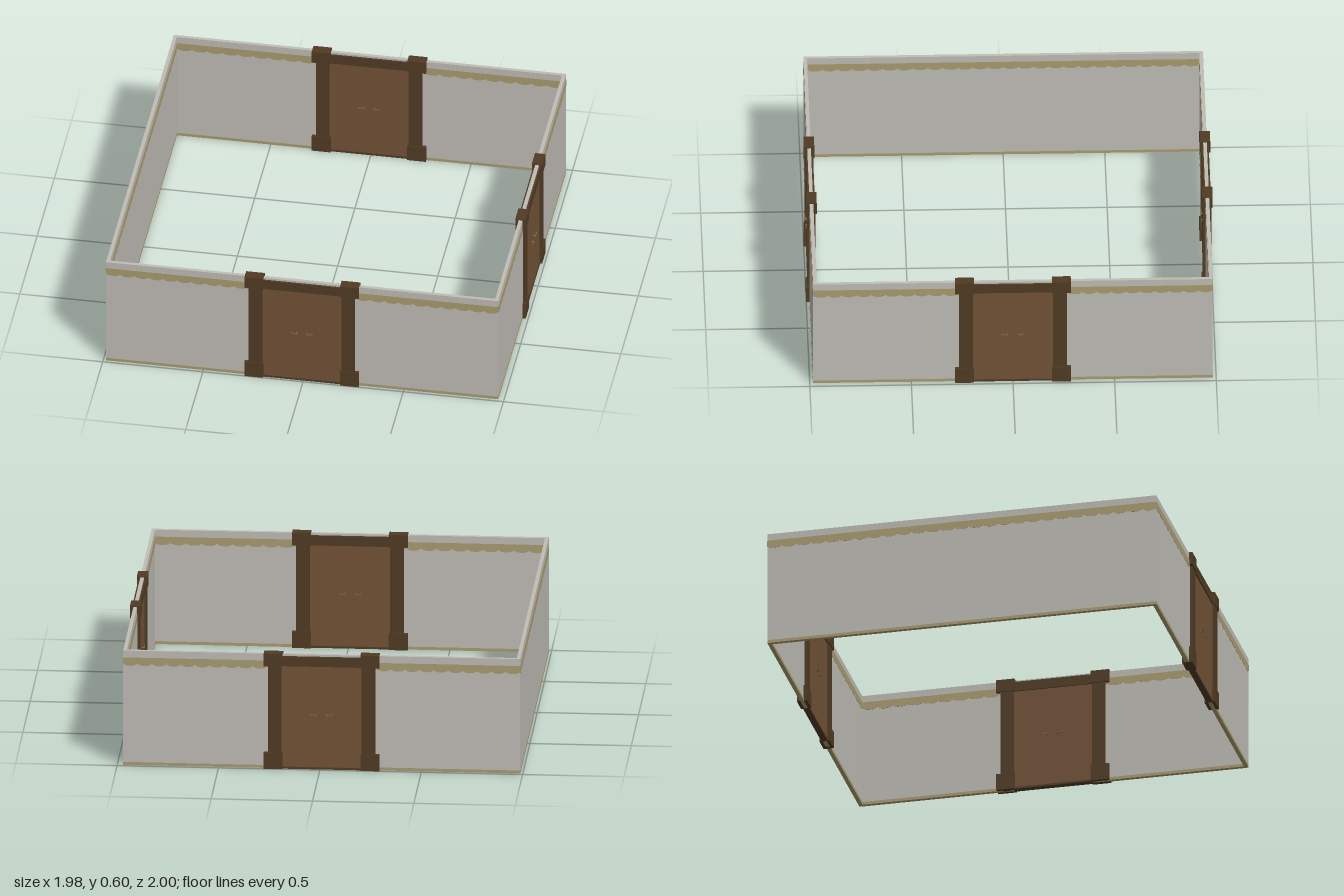
import * as THREE from 'three';

const material = (name, color) => {
  const m = new THREE.MeshStandardMaterial({ color });
  m.name = name;
  return m;
};

export function createModel() {
  const plaster = material('plaster', 0xc0bdb6);
  const gold = material('gold trim', 0xaa9c70);
  const doorWood = material('door wood', 0x735236);
  const darkWood = material('dark wood', 0x503b23);
  const brass = material('brass', 0x75653c);

  const T = 0.009;      // half wall thickness
  const TOP = 0.59;     // wall height
  const DOOR = 0.198;   // half door width

  // Box given by its limits on each axis
  function box(parent, name, mat, x0, x1, y0, y1, z0, z1) {
    const mesh = new THREE.Mesh(new THREE.BoxGeometry(x1 - x0, y1 - y0, z1 - z0), mat);
    mesh.position.set((x0 + x1) / 2, (y0 + y1) / 2, (z0 + z1) / 2);
    mesh.name = name;
    parent.add(mesh);
  }

  // Thin band with a scalloped lower edge
  function scallopBand(parent, x0, x1, side) {
    const n = Math.max(1, Math.round((x1 - x0) / 0.074));
    const step = (x1 - x0) / n;
    const s = new THREE.Shape();
    s.moveTo(x1, 0.555);
    s.lineTo(x0, 0.555);
    s.lineTo(x0, 0.524);
    for (let i = 0; i < n; i++) {
      const a = x0 + i * step;
      s.bezierCurveTo(a + step * 0.15, 0.508, a + step * 0.85, 0.508, a + step, 0.524);
    }
    const geo = new THREE.ExtrudeGeometry(s, { depth: 0.0015, bevelEnabled: false, curveSegments: 6 });
    const mesh = new THREE.Mesh(geo, gold);
    mesh.position.z = side > 0 ? T : -T - 0.0015;
    mesh.name = 'scallopedBand';
    parent.add(mesh);
  }

  // Double door with posts, lintel and handles on both faces
  function doorway() {
    const g = new THREE.Group();
    g.name = 'doorway';
    box(g, 'lintel', darkWood, -DOOR, DOOR, 0.53, 0.58, -0.018, 0.018);
    box(g, 'wallAboveLintel', plaster, -DOOR, DOOR, 0.58, TOP, -T, T);
    box(g, 'threshold', darkWood, -DOOR, DOOR, 0, 0.01, -0.016, 0.016);
    for (const s of [-1, 1]) {
      const span = (name, mat, a, b, y0, y1, h) =>
        box(g, name, mat, Math.min(s * a, s * b), Math.max(s * a, s * b), y0, y1, -h, h);
      span('doorLeaf', doorWood, 0.0006, DOOR, 0.01, 0.53, 0.012);
      span('post', darkWood, DOOR, 0.265, 0.085, 0.53, 0.021);
      span('postCapital', darkWood, 0.192, 0.285, 0.53, 0.595, 0.026);
      span('postBase', darkWood, 0.192, 0.285, 0, 0.085, 0.026);
      // Handles: a stem and a lever on each face
      for (const f of [-1, 1]) {
        const stem = new THREE.Mesh(new THREE.CylinderGeometry(0.005, 0.005, 0.012, 8), brass);
        stem.rotation.x = Math.PI / 2;
        stem.position.set(s * 0.026, 0.281, f * 0.017);
        stem.name = 'handleStem';
        const lever = new THREE.Mesh(new THREE.BoxGeometry(0.032, 0.006, 0.004), brass);
        lever.position.set(s * 0.041, 0.282, f * 0.022);
        lever.rotation.z = s * 0.12;
        lever.name = 'handleLever';
        g.add(stem, lever);
      }
    }
    return g;
  }

  // Wall along local x, outer face towards +z
  function wall(name, half, outer, inner, hasDoor) {
    const g = new THREE.Group();
    g.name = name;
    const pieces = (h) => (hasDoor ? [[-h, -DOOR], [DOOR, h]] : [[-h, h]]);
    for (const [a, b] of pieces(half)) {
      box(g, 'wallPanel', plaster, a, b, 0.015, TOP, -T, T);
      box(g, 'baseTrim', gold, a, b, 0, 0.015, -T - 0.001, T + 0.001);
    }
    for (const [a, b] of pieces(outer)) scallopBand(g, a, b, 1);
    for (const [a, b] of pieces(inner)) scallopBand(g, a, b, -1);
    if (hasDoor) g.add(doorway());
    return g;
  }

  const model = new THREE.Group();
  model.name = 'walledEnclosure';
  const CX = -0.008, Z = 0.974, X = 0.97;

  const front = wall('frontWall', X + T, X + T, X - T, true);
  front.position.set(CX, 0, Z);
  const back = wall('backWall', X + T, X + T, X - T, true);
  back.position.set(CX, 0, -Z);
  back.rotation.y = Math.PI;
  const left = wall('leftWall', Z - T, Z + T, Z - T, true);
  left.position.set(CX + X, 0, 0);
  left.rotation.y = Math.PI / 2;
  const right = wall('rightWall', Z - T, Z + T, Z - T, false);
  right.position.set(CX - X, 0, 0);
  right.rotation.y = -Math.PI / 2;
  model.add(front, back, left, right);
  return model;
}
